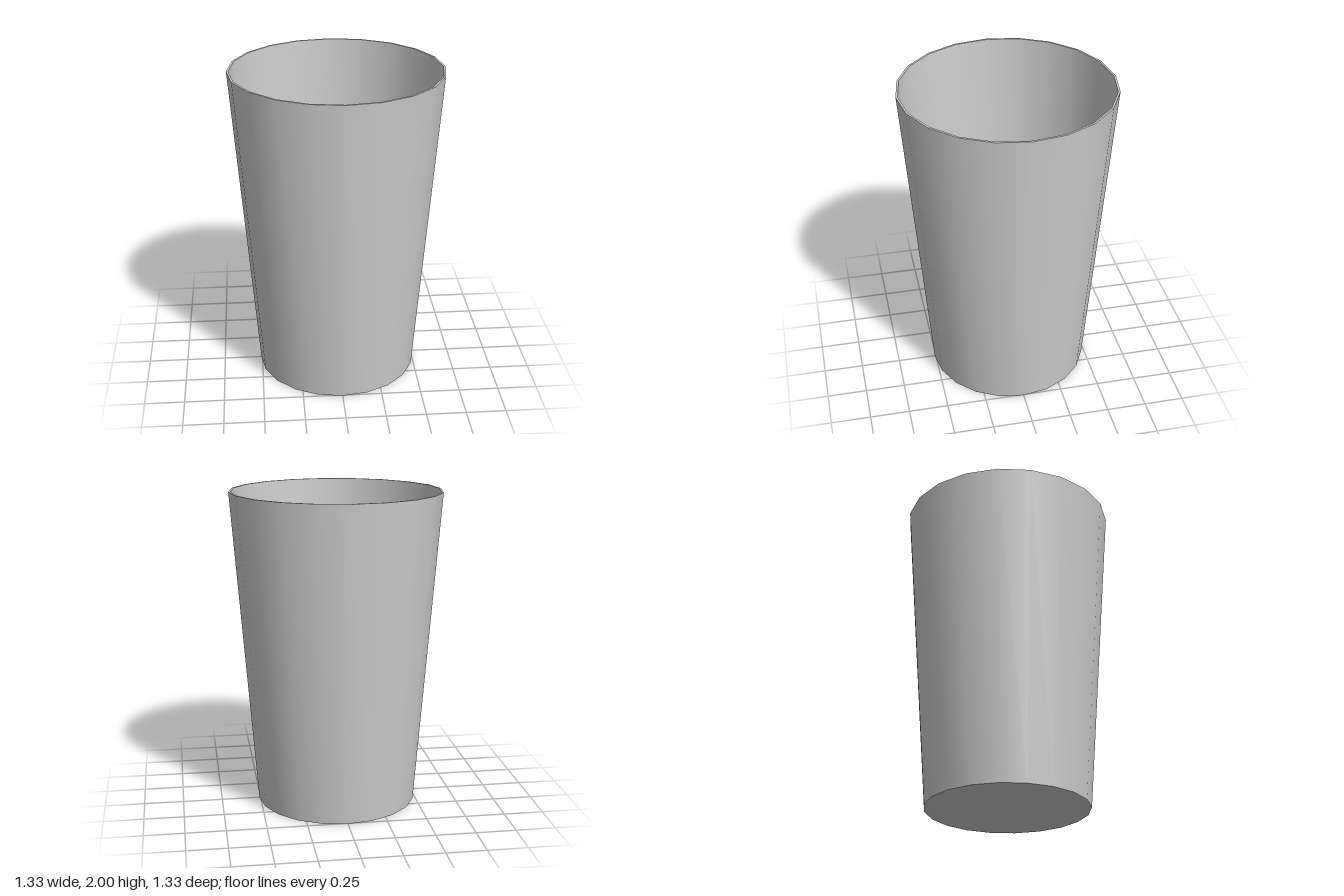
import * as THREE from 'three';
import { toCreasedNormals } from 'three/addons/utils/BufferGeometryUtils.js';

const SIDES = 20;
const HEIGHT = 2;
const WALL = 0.013;
const BOTTOM_RADIUS = 0.507;
const TOP_RADIUS = 0.663;

export function createModel() {
  const group = new THREE.Group();
  group.name = 'tumbler';

  // Closed profile: underside, outer wall, rim, inner wall, inside floor
  const profile = [
    [0, 0],
    [BOTTOM_RADIUS, 0],
    [TOP_RADIUS, HEIGHT],
    [TOP_RADIUS - WALL, HEIGHT],
    [BOTTOM_RADIUS - WALL, WALL],
    [0, WALL],
  ].map(([r, y]) => new THREE.Vector2(r, y));

  // Smooth around the walls, sharp at the rim and the floor
  const geometry = toCreasedNormals(new THREE.LatheGeometry(profile, SIDES), Math.PI / 6);
  const cup = new THREE.Mesh(geometry, new THREE.MeshStandardMaterial({ color: 0xcccccc }));
  cup.name = 'cup';
  group.add(cup);

  return group;
}
